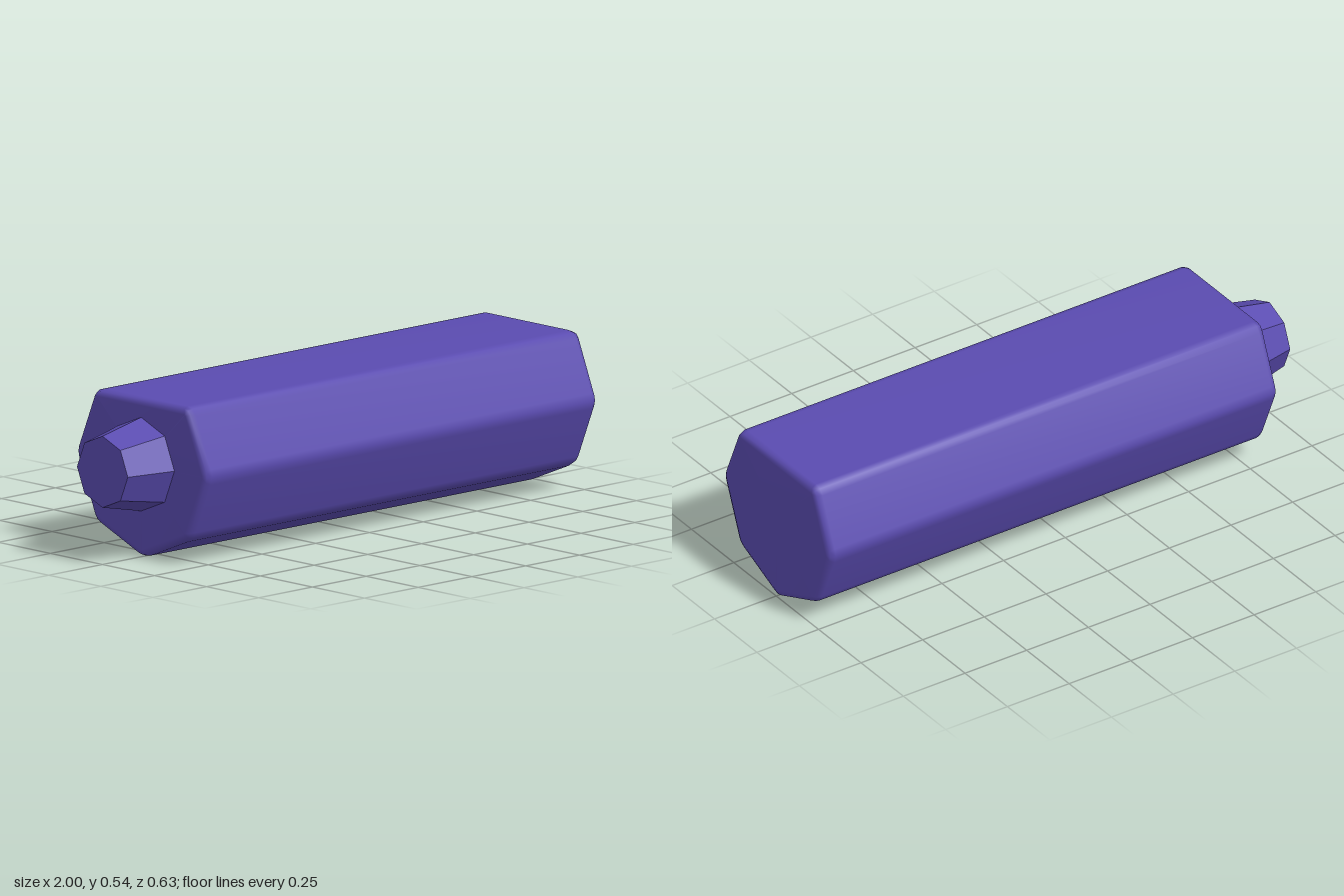
import * as THREE from 'three';

const CY = 0.3155; // height of the long axis
const R = 0.32; // corner radius of the body section

// Section: octagon without its top corner, inset by d, each corner rounded over length t
function section(d, t) {
  const pts = [];
  for (let k = 0; k < 8; k++) {
    if (k === 2) continue;
    const a = (k * Math.PI) / 4;
    pts.push(new THREE.Vector2(R * Math.cos(a), R * Math.sin(a)));
  }
  const n = pts.length;
  const dirs = pts.map((p, i) => pts[(i + 1) % n].clone().sub(p).normalize());
  const out = [];
  pts.forEach((p, i) => {
    const e1 = dirs[(i + n - 1) % n], e2 = dirs[i];
    const n1 = new THREE.Vector2(e1.y, -e1.x), n2 = new THREE.Vector2(e2.y, -e2.x);
    const v = p.clone().addScaledVector(n1.clone().add(n2), -d / (1 + n1.dot(n2)));
    const a = v.clone().addScaledVector(e1, -t);
    const b = v.clone().addScaledVector(e2, t);
    out.push(a, a.clone().add(b).multiplyScalar(0.25).addScaledVector(v, 0.5), b);
  });
  return out;
}

// Prism along x with softly bevelled ends and edges
function bodyGeometry(x0, x1, bevel) {
  const m = bevel * 0.293;
  const rings = [
    [x0, bevel, 0.002], [x0 + m, m, 0.02], [x0 + bevel, 0, 0.028],
    [x1 - bevel, 0, 0.028], [x1 - m, m, 0.02], [x1, bevel, 0.002],
  ];
  const pos = [], index = [];
  for (const [x, d, t] of rings) for (const p of section(d, t)) pos.push(x, p.y, p.x);
  const n = pos.length / 3 / rings.length;
  for (let i = 0; i < rings.length - 1; i++) {
    for (let j = 0; j < n; j++) {
      const a = i * n + j, b = i * n + ((j + 1) % n);
      index.push(a, a + n, b, b, a + n, b + n);
    }
  }
  // End caps
  const c0 = n * rings.length, last = n * (rings.length - 1);
  pos.push(x0, 0, 0, x1, 0, 0);
  for (let j = 0; j < n; j++) {
    const k = (j + 1) % n;
    index.push(c0, j, k, c0 + 1, last + k, last + j);
  }
  const g = new THREE.BufferGeometry();
  g.setAttribute('position', new THREE.Float32BufferAttribute(pos, 3));
  g.setIndex(index);
  g.computeVertexNormals();
  return g;
}

export function createModel() {
  const group = new THREE.Group();
  group.name = 'cartridge';
  const color = 0x5a4bb0;

  // Main body
  const body = new THREE.Mesh(bodyGeometry(-0.82, 1, 0.025), new THREE.MeshStandardMaterial({ color }));
  body.name = 'body';
  body.position.y = CY;
  group.add(body);

  // Tapered eight-sided end plug
  const plug = new THREE.Mesh(
    new THREE.CylinderGeometry(0.122, 0.162, 0.19, 8),
    new THREE.MeshStandardMaterial({ color, flatShading: true })
  );
  plug.name = 'endPlug';
  plug.rotation.z = Math.PI / 2;
  plug.position.set(-0.905, 0.317, 0);
  group.add(plug);

  return group;
}
